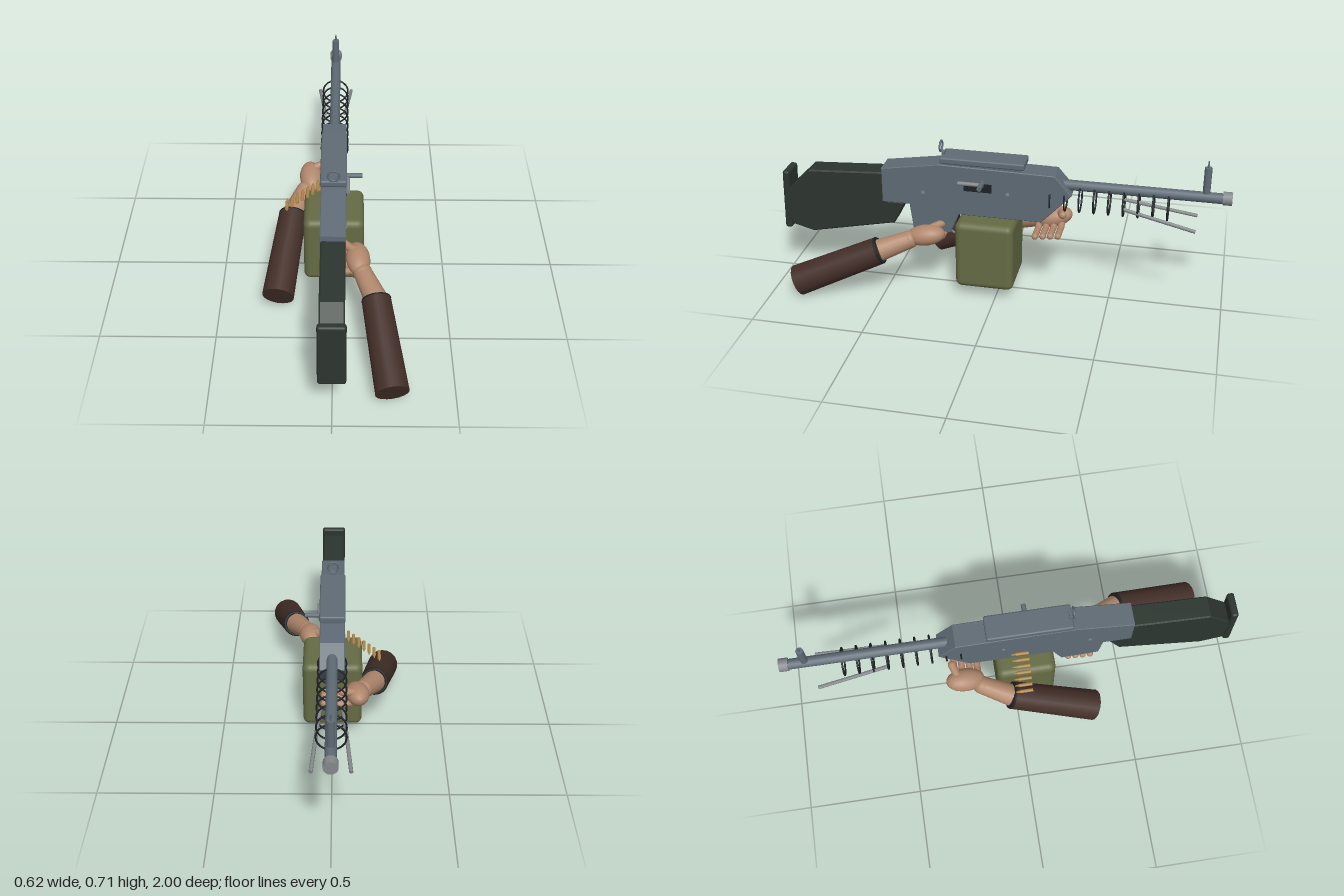
import * as THREE from 'three';
import { RoundedBoxGeometry } from 'three/addons/geometries/RoundedBoxGeometry.js';

const mat = (name, color) => {
  const m = new THREE.MeshStandardMaterial({ color });
  m.name = name;
  return m;
};
const V = (p) => new THREE.Vector3(...p);

export function createModel() {
  const M = {
    steel: mat('gunmetal', 0x5f6b75),
    stock: mat('dark green stock', 0x2c352f),
    black: mat('blackened steel', 0x1d2224),
    grey: mat('light grey steel', 0x84888b),
    olive: mat('olive paint', 0x656b44),
    brass: mat('brass', 0xb28748),
    skin: mat('skin', 0xb0876c),
    sleeve: mat('brown sleeve', 0x432e28),
  };
  const root = new THREE.Group();
  root.name = 'machineGunWithArms';

  const add = (name, geo, material, pos = [0, 0, 0], parent = root) => {
    const m = new THREE.Mesh(geo, material);
    m.name = name;
    m.position.set(...pos);
    parent.add(m);
    return m;
  };
  // Cylinder from a to b, radius ra at a and rb at b
  const rod = (name, a, b, ra, rb, material, parent = root, sides = 16) => {
    const d = V(b).sub(V(a));
    const m = add(name, new THREE.CylinderGeometry(rb, ra, d.length(), sides), material,
      V(a).add(V(b)).multiplyScalar(0.5).toArray(), parent);
    m.quaternion.setFromUnitVectors(new THREE.Vector3(0, 1, 0), d.normalize());
    return m;
  };
  const capsule = (name, a, b, r, material, parent) => {
    const d = V(b).sub(V(a));
    const m = add(name, new THREE.CapsuleGeometry(r, d.length(), 5, 12), material,
      V(a).add(V(b)).multiplyScalar(0.5).toArray(), parent);
    m.quaternion.setFromUnitVectors(new THREE.Vector3(0, 1, 0), d.normalize());
  };
  // Side profile given as [z, y], extruded symmetrically across x
  const slab = (name, pts, width, bevel, material) => {
    const shape = new THREE.Shape(pts.map(([z, y]) => new THREE.Vector2(z, y)));
    const geo = new THREE.ExtrudeGeometry(shape, {
      depth: width - 2 * bevel, bevelEnabled: bevel > 0, bevelThickness: bevel,
      bevelSize: bevel, bevelOffset: -bevel, bevelSegments: 1,
    });
    geo.translate(0, 0, -(width - 2 * bevel) / 2);
    geo.rotateY(-Math.PI / 2);
    return add(name, geo, material);
  };

  // Receiver with grip, and stock
  slab('receiver', [[0.525, 0.578], [0.26, 0.62], [-0.25, 0.612], [-0.325, 0.525], [-0.195, 0.385],
    [0.175, 0.385], [0.215, 0.29], [0.385, 0.30], [0.4, 0.415], [0.525, 0.415]], 0.106, 0.003, M.steel);
  slab('stock', [[0.97, 0.43], [0.865, 0.535], [0.51, 0.556], [0.51, 0.417], [0.42, 0.417],
    [0.475, 0.31], [0.865, 0.227], [0.97, 0.255]], 0.1, 0.006, M.stock);
  const butt = add('buttPlate', new RoundedBoxGeometry(0.112, 0.285, 0.033, 3, 0.011), M.stock, [0, 0.377, 0.979]);
  butt.rotation.x = -0.03;

  // Top cover and rear ring sight
  add('coverBase', new THREE.BoxGeometry(0.09, 0.02, 0.34), M.steel, [0, 0.622, 0.07]);
  add('topCover', new RoundedBoxGeometry(0.112, 0.03, 0.375, 3, 0.008), M.steel, [0, 0.64, 0.07]);
  add('rearSightBase', new THREE.BoxGeometry(0.032, 0.012, 0.012), M.steel, [0, 0.658, 0.25]);
  add('rearSightRing', new THREE.TorusGeometry(0.0235, 0.0045, 10, 28), M.steel, [0, 0.687, 0.262]);

  // Barrel, muzzle and front sight
  rod('barrel', [0, 0.555, -0.24], [0, 0.555, -0.98], 0.023, 0.023, M.steel);
  rod('muzzle', [0, 0.557, -0.96], [0, 0.557, -1], 0.029, 0.029, M.grey);
  rod('frontSightPost', [0, 0.575, -0.89], [0, 0.692, -0.89], 0.016, 0.016, M.steel);
  rod('frontSightPin', [0, 0.692, -0.89], [0, 0.722, -0.89], 0.005, 0.003, M.steel);

  // Row of cooling rings under the barrel
  for (let i = 0; i < 9; i++)
    add('coolingRing', new THREE.TorusGeometry(0.06, 0.004, 8, 32), M.black, [0, 0.495, -0.23 - i * 0.0632]);

  // Folded bipod
  for (const s of [-1, 1])
    rod('bipodLeg', [s * 0.047, 0.485, -0.545], [s * 0.077, 0.425, -0.86], 0.008, 0.008, M.grey, root, 10);

  // Ejection slot, bolt handle and pins
  add('ejectionSlot', new THREE.BoxGeometry(0.006, 0.04, 0.125), M.black, [0.053, 0.526, 0.088]);
  rod('boltRod', [0.06, 0.543, 0.175], [0.06, 0.543, 0.06], 0.009, 0.009, M.grey, root, 12);
  rod('boltHandle', [0.05, 0.553, 0.067], [0.122, 0.553, 0.067], 0.011, 0.011, M.steel, root, 12);
  for (const [y, z] of [[0.48, 0.335], [0.507, -0.045]])
    rod('pin', [-0.056, y, z], [0.056, y, z], 0.008, 0.008, M.grey, root, 12);

  // Trigger and guard
  const guard = add('triggerGuard', new THREE.TorusGeometry(0.06, 0.006, 8, 24, Math.PI), M.steel, [0, 0.32, 0.185]);
  guard.rotation.set(Math.PI, Math.PI / 2, 0, 'YXZ');
  rod('trigger', [0, 0.385, 0.185], [0, 0.30, 0.195], 0.007, 0.005, M.black, root, 8);

  // Ammunition box and belt
  add('ammoBox', new RoundedBoxGeometry(0.264, 0.32, 0.262, 4, 0.03), M.olive, [0, 0.22, 0.048]);
  for (let i = 0; i < 7; i++) {
    const x = -0.07 - i * 0.023, y = 0.47 - i * 0.0172;
    rod('cartridgeCase', [x, y, 0.062], [x, y, 0.005], 0.0075, 0.0075, M.brass, root, 10);
    rod('bulletTip', [x, y, 0.005], [x, y, -0.015], 0.006, 0.002, M.brass, root, 10);
  }

  // Arms: sleeve, cuff, forearm, palm, thumb and four fingers
  const arm = (name, o) => {
    const g = new THREE.Group();
    g.name = name;
    root.add(g);
    rod('sleeve', o.elbow, o.cuff, 0.07, 0.062, M.sleeve, g, 18);
    const dir = V(o.cuff).sub(V(o.elbow)).normalize();
    const cuff = add('cuff', new THREE.TorusGeometry(0.055, 0.008, 8, 20), M.black, o.cuff, g);
    cuff.quaternion.setFromUnitVectors(new THREE.Vector3(0, 0, 1), dir);
    rod('forearm', o.cuff, o.wrist, 0.05, 0.04, M.skin, g);
    add('wrist', new THREE.SphereGeometry(0.041, 16, 12), M.skin, o.wrist, g);
    const palm = add('palm', new THREE.SphereGeometry(1, 20, 14), M.skin, o.palm, g);
    palm.scale.set(0.052, 0.046, 0.088);
    palm.lookAt(V(o.palm).add(V(o.palmDir)));
    capsule('thumb', o.thumb[0], o.thumb[1], 0.018, M.skin, g);
    for (let i = 0; i < 4; i++) {
      const off = new THREE.Vector3(0, o.rise * i, -0.034 * i);
      const [a, b, c] = o.finger.map((p) => V(p).add(off).toArray());
      capsule('fingerBase', a, b, 0.0155, M.skin, g);
      capsule('fingerTip', b, c, 0.0145, M.skin, g);
    }
  };
  arm('leftArm', {
    elbow: [0.24, 0.072, 0.88], cuff: [0.18, 0.235, 0.51], wrist: [0.125, 0.275, 0.385],
    palm: [0.105, 0.295, 0.315], palmDir: [-0.1, 0.15, -1],
    thumb: [[0.085, 0.325, 0.29], [0.04, 0.33, 0.25]],
    finger: [[0.1, 0.27, 0.36], [0.05, 0.258, 0.355], [-0.045, 0.268, 0.35]], rise: 0.004,
  });
  arm('rightArm', {
    elbow: [-0.24, 0.107, 0.345], cuff: [-0.187, 0.268, -0.03], wrist: [-0.135, 0.312, -0.155],
    palm: [-0.108, 0.338, -0.225], palmDir: [-0.1, 0.25, -1],
    thumb: [[-0.09, 0.37, -0.26], [-0.045, 0.382, -0.275]],
    finger: [[-0.1, 0.315, -0.165], [-0.05, 0.3, -0.165], [0.035, 0.304, -0.165]], rise: 0.004,
  });

  return root;
}
